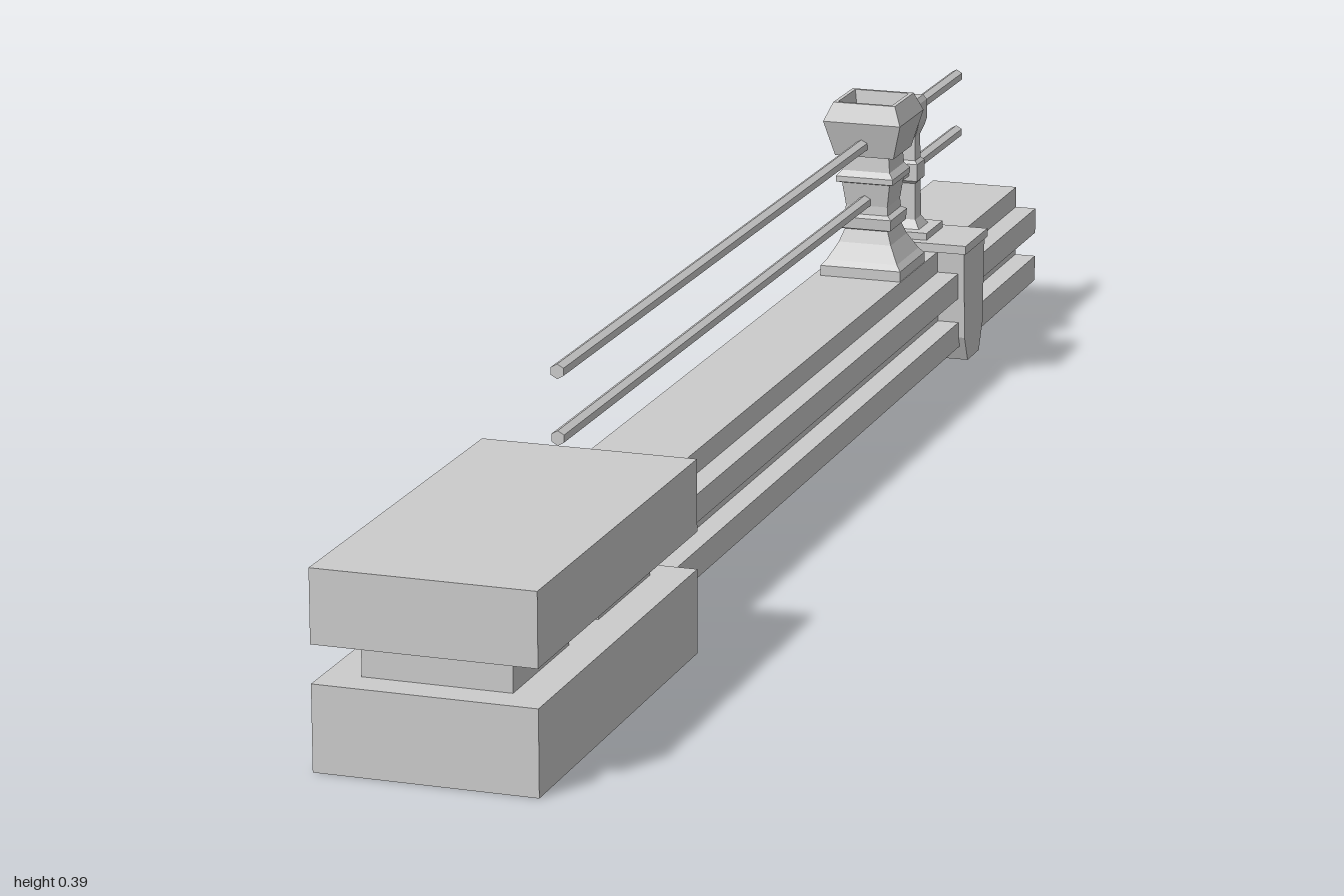
import * as THREE from 'three';

export function createModel() {
  const model = new THREE.Group();
  const body = new THREE.Group();
  body.name = 'body';
  body.rotation.y = 0.209; // whole assembly sits slightly turned
  model.add(body);
  const mat = new THREE.MeshStandardMaterial({ color: 0xcccccc, flatShading: true });
  const CX = -0.028; // centre line

  function add(name, geo, x = 0, y = 0, z = 0) {
    const m = new THREE.Mesh(geo, mat);
    m.name = name;
    m.position.set(x, y, z);
    body.add(m);
    return m;
  }
  // box given by its limits
  function box(name, x0, x1, y0, y1, z0, z1) {
    return add(name, new THREE.BoxGeometry(x1 - x0, y1 - y0, z1 - z0),
      (x0 + x1) / 2, (y0 + y1) / 2, (z0 + z1) / 2);
  }
  // square turned profile of [half width, height] pairs
  function squarePost(name, profile, z) {
    const pts = profile.map(([h, y]) => new THREE.Vector2(h * Math.SQRT2, y));
    return add(name, new THREE.LatheGeometry(pts, 4, Math.PI / 4), CX, 0, z);
  }
  function polygon(points) {
    return new THREE.Shape(points.map(([x, y]) => new THREE.Vector2(x, y)));
  }

  // counterweight: two slabs held apart by two spacers
  const L = -0.153, R = 0.098, back = 0.49, mid = 0.739, front = 0.987, t = 0.003;
  box('upperSlab', L, R, 0.14, 0.223, back, front);
  box('lowerSlab', L, R, 0, 0.097, mid, front);
  box('frontSpacer', -0.112, 0.056, 0.097, 0.14, 0.783, 0.949);
  box('rearSpacer', -0.112, 0.056, 0.097, 0.14, 0.527, 0.692);

  // rear half of the lower slab is a shell open underneath
  box('shellLeft', R - t, R, 0, 0.097, back, mid);
  box('shellRight', L, L + t, 0, 0.097, back, mid);
  box('shellBack', L + t, R - t, 0, 0.097, back, back + t);
  box('shellTop', L + t, R - t, 0.097 - t, 0.097, back + t, mid);

  // long beam with two ribs along its left side
  const beam = polygon([
    [-0.09, 0.042], [0.052, 0.042], [0.052, 0.075], [0.025, 0.075], [0.025, 0.107],
    [0.052, 0.107], [0.052, 0.14], [0.025, 0.14], [0.025, 0.167], [-0.09, 0.167],
  ]);
  add('beam', new THREE.ExtrudeGeometry(beam, { depth: 1.541, bevelEnabled: false }), 0, 0, -1.015);

  // clamp around the beam
  const clampZ = -0.702;
  const shield = polygon([
    [-0.025, 0.022], [0.025, 0.022], [0.04, 0.055], [0.046, 0.17], [-0.046, 0.17], [-0.04, 0.055],
  ]);
  const clamp = new THREE.ExtrudeGeometry(shield, { depth: 0.16, bevelEnabled: false });
  clamp.rotateY(Math.PI / 2);
  add('clamp', clamp, -0.1, 0, clampZ);
  box('clampLid', -0.103, 0.063, 0.167, 0.178, clampZ - 0.049, clampZ + 0.049);

  // thin post on the clamp, with a collar at each rod
  squarePost('thinPost', [
    [0, 0.177], [0.035, 0.177], [0.035, 0.187], [0.02, 0.187], [0.013, 0.198], [0.012, 0.245],
    [0.016, 0.249], [0.016, 0.271], [0.012, 0.275], [0.011, 0.305], [0.016, 0.317],
    [0.018, 0.325], [0.018, 0.35], [0.014, 0.356], [0, 0.356],
  ], clampZ);

  // moulded post with a hollow cap
  squarePost('mouldedPost', [
    [0, 0.167], [0.052, 0.167], [0.052, 0.18], [0.046, 0.187], [0.034, 0.208], [0.028, 0.224],
    [0.033, 0.226], [0.034, 0.24], [0.028, 0.244], [0.027, 0.255], [0.031, 0.284],
    [0.037, 0.286], [0.037, 0.293], [0.031, 0.3], [0.029, 0.32], [0.038, 0.32],
    [0.05, 0.365], [0.04, 0.388], [0.035, 0.388], [0.03, 0.355], [0, 0.355],
  ], -0.55);

  // two long rods running through both posts
  for (const [name, y] of [['lowerRod', 0.26], ['upperRod', 0.335]]) {
    const rod = new THREE.CylinderGeometry(0.0085, 0.0085, 1.5, 6);
    rod.rotateX(Math.PI / 2);
    add(name, rod, CX - 0.002, y, -0.169);
  }
  return model;
}
